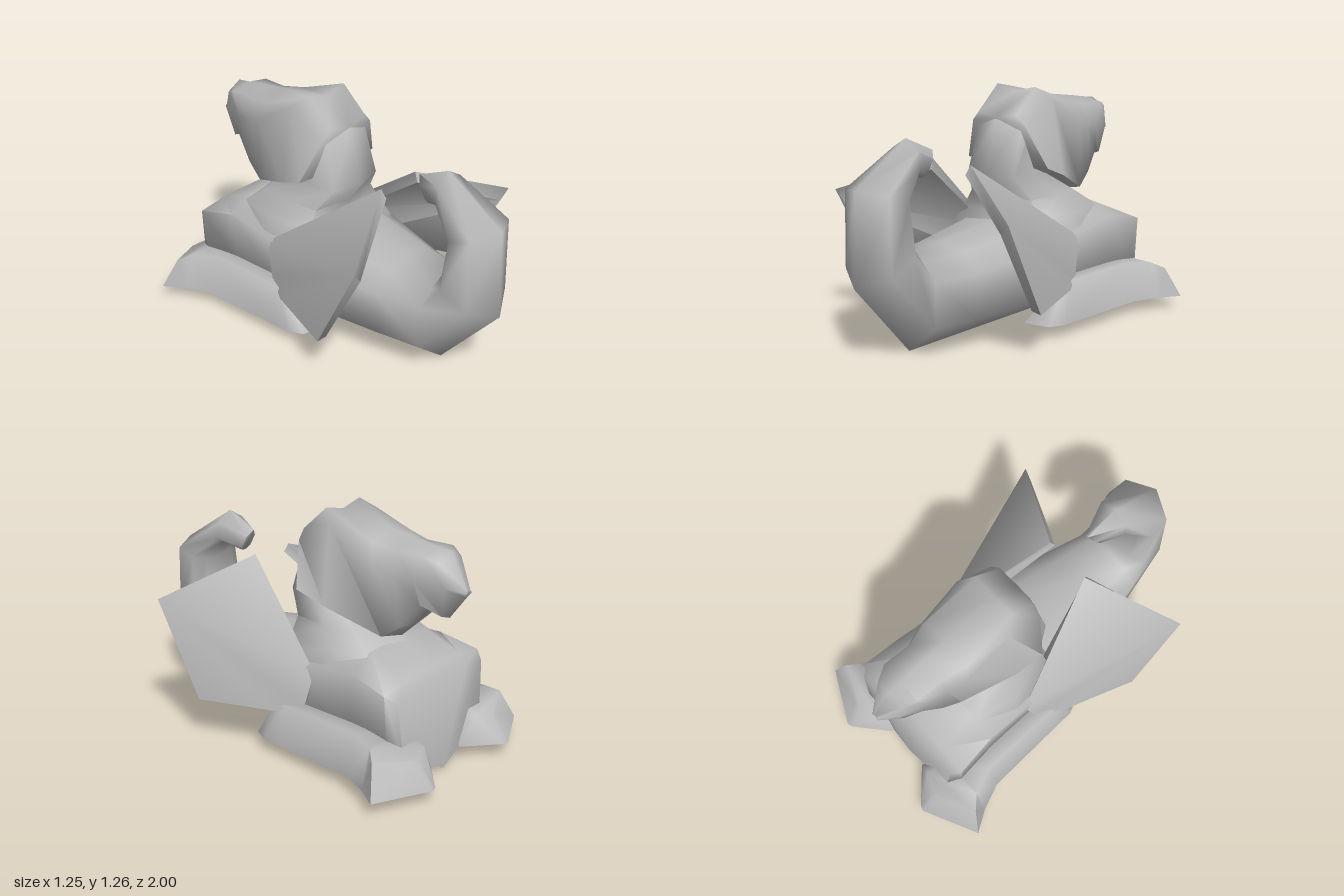
import * as THREE from 'three';
import { toCreasedNormals } from 'three/addons/utils/BufferGeometryUtils.js';

// Skin a list of rings and cap both ends; an open loft leaves out the strip
// between the last and first point. Faces are turned to point outwards.
function loft(rings, crease, open) {
  const n = rings[0].length, pts = rings.flat(), tris = [];
  for (let r = 0; r < rings.length - 1; r++) {
    for (let i = 0; i < (open ? n - 1 : n); i++) {
      const j = (i + 1) % n, a = r * n + i, b = r * n + j;
      tris.push([a, b, b + n], [a, b + n, a + n]);
    }
  }
  const last = (rings.length - 1) * n;
  for (let i = 1; i < n - 1; i++) {
    tris.push([0, i + 1, i], [last, last + i, last + i + 1]);
  }
  const v = pts.map((p) => new THREE.Vector3(...p));
  const centre = new THREE.Box3().setFromPoints(v).getCenter(new THREE.Vector3());
  v.forEach((p) => p.sub(centre));
  let volume = 0;
  for (const [a, b, c] of tris) volume += v[a].dot(v[b].clone().cross(v[c]));
  if (volume < 0) tris.forEach((t) => t.reverse());
  const g = new THREE.BufferGeometry();
  g.setAttribute('position', new THREE.Float32BufferAttribute(pts.flat(), 3));
  g.setIndex(tris.flat());
  return toCreasedNormals(g, crease);
}

// Half ring from x = 0 back to x = 0, completed by its mirror image
const mirrorRing = (half) =>
  [...half, ...half.slice(1, -1).reverse().map(([x, y, z]) => [-x, y, z])];

export function createModel() {
  const group = new THREE.Group();
  const clay = new THREE.MeshStandardMaterial({ color: 0xb8b8b8, side: THREE.DoubleSide });
  clay.name = 'grey clay';
  const add = (name, rings, crease = 1.5, open = false) => {
    const mesh = new THREE.Mesh(loft(rings, crease, open), clay);
    mesh.name = name;
    group.add(mesh);
  };

  // Chest, body and curled tail: keel z, y, back z, y, half width, corner height
  add('bodyAndTail', [
    [-0.83, 0, -0.795, 0.49, 0.355, 0.95],
    [-0.745, 0, -0.745, 0.535, 0.395, 0.94],
    [-0.5, 0, -0.53, 0.64, 0.37, 0.86],
    [-0.2, 0, -0.2, 0.6, 0.36, 0.82],
    [0, 0, 0, 0.57, 0.35, 0.8],
    [0.42, 0, 0.42, 0.52, 0.265, 0.78],
    [0.65, 0, 0.67, 0.51, 0.21, 0.78],
    [1.0, 0.4, 0.7, 0.58, 0.18, 0.78],
    [0.98, 0.87, 0.74, 0.8, 0.17, 0.78],
    [0.65, 1.08, 0.65, 0.9, 0.1, 0.78],
    [0.47, 1.0, 0.55, 0.87, 0.035, 0.78],
  ].map(([z0, y0, z1, y1, w, c]) => {
    const at = (x, t) => [x, y0 + (y1 - y0) * t, z0 + (z1 - z0) * t];
    return mirrorRing([at(0, 0), at(w * 0.92, 0.31), at(w, c), at(w * 0.6, c * 0.25 + 0.75), at(0, 1)]);
  }));

  // Neck rising out of the shoulders: height, rear z, front z, half width
  add('neckAndShoulders', [
    [0.4, 0.12, -0.7, 0.35],
    [0.5, 0.06, -0.7, 0.345],
    [0.6, 0.0, -0.6, 0.305],
    [0.69, 0.0, -0.48, 0.24],
    [0.81, 0.08, -0.28, 0.185],
    [1.1, 0.0, -0.2, 0.165],
  ].map(([y, z0, z1, w]) => mirrorRing([
    [0, y, z0], [w * 0.88, y, z0 - 0.04], [w, y, (z0 + z1) / 2], [w * 0.85, y, z1 + 0.07], [0, y, z1],
  ])));

  // Head, from the nape to the hooked beak
  add('head', [
    [[0, 1.11, 0], [0.13, 1.13, -0.01], [0.18, 1.08, -0.02], [0.28, 0.86, -0.09], [0, 0.83, -0.1]],
    [[0, 1.235, -0.16], [0.13, 1.265, -0.16], [0.19, 1.21, -0.23], [0.255, 0.8, -0.25], [0, 0.78, -0.25]],
    [[0, 1.19, -0.47], [0.15, 1.15, -0.47], [0.185, 1.06, -0.49], [0.15, 0.68, -0.53], [0, 0.65, -0.55]],
    [[0, 1.17, -0.62], [0.12, 1.13, -0.6], [0.15, 1.02, -0.6], [0.13, 0.75, -0.63], [0, 0.73, -0.63]],
    [[0, 1.15, -0.75], [0.125, 1.13, -0.75], [0.13, 1.0, -0.7], [0.11, 0.88, -0.73], [0, 0.87, -0.745]],
    [[0, 1.14, -0.83], [0.09, 1.1, -0.82], [0.08, 0.98, -0.85], [0.06, 0.83, -0.82], [0, 0.81, -0.83]],
    [[0, 0.975, -0.93], [0.015, 0.97, -0.93], [0.02, 0.96, -0.935], [0.015, 0.94, -0.92], [0, 0.93, -0.91]],
  ].map(mirrorRing));

  for (const [side, s] of [['left', 1], ['right', -1]]) {
    const flip = (rings) => rings.map((r) => r.map(([x, y, z]) => [x * s, y, z]));

    // Wing: bent slab, outer skin then inner skin
    add(side + 'Wing', flip([
      [[0.605, 0.735, 0.59], [0.585, 0.235, 0.325], [0.45, 0.245, -0.08], [0.37, 0.28, -0.22],
        [0.35, 0.48, -0.27], [0.13, 0.92, 0.335]],
      [[0.55, 0.68, 0.58], [0.54, 0.25, 0.34], [0.38, 0.26, -0.05], [0.31, 0.29, -0.18],
        [0.28, 0.44, -0.23], [0.12, 0.87, 0.36]],
    ]), 1.2);

    // Foot, open underneath: outer base, outer top, inner top, inner base
    add(side + 'Foot', flip([
      [[0.42, 0.07, 0.06], [0.38, 0.13, 0.03], [0.31, 0.13, 0.04], [0.28, 0.07, 0.09]],
      [[0.46, 0.07, -0.02], [0.42, 0.25, -0.05], [0.3, 0.27, -0.07], [0.2, 0.07, -0.1]],
      [[0.465, 0.07, -0.12], [0.42, 0.28, -0.12], [0.3, 0.28, -0.12], [0.2, 0.07, -0.12]],
      [[0.49, 0.07, -0.6], [0.43, 0.28, -0.6], [0.29, 0.28, -0.6], [0.2, 0.07, -0.6]],
      [[0.55, 0.07, -0.74], [0.49, 0.265, -0.74], [0.25, 0.27, -0.74], [0.16, 0.07, -0.74]],
      [[0.625, 0.07, -0.855], [0.55, 0.23, -0.8], [0.22, 0.22, -0.86], [0.13, 0.07, -0.84]],
      [[0.33, 0.07, -1.0], [0.36, 0.2, -0.9], [0.32, 0.2, -0.9], [0.3, 0.07, -0.99]],
    ]), 1.5, true);
  }
  return group;
}
